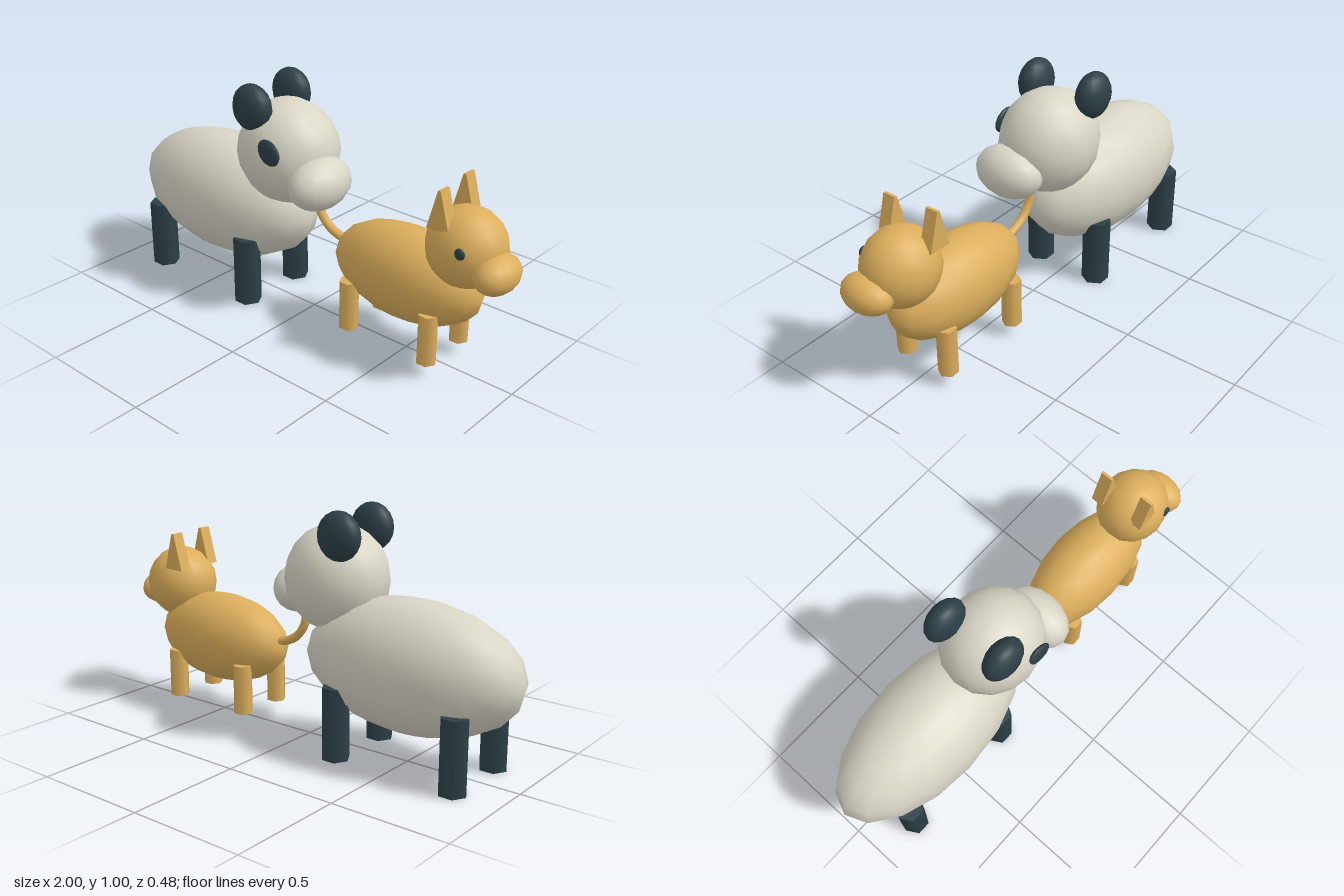
import * as THREE from 'three';

const cream = new THREE.MeshStandardMaterial({ color: 0xd9d5c6 });
cream.name = 'cream fur';
const dark = new THREE.MeshStandardMaterial({ color: 0x2c4047 });
dark.name = 'dark fur';
const tan = new THREE.MeshStandardMaterial({ color: 0xdcae5c });
tan.name = 'tan fur';

function add(group, name, geometry, material, pos = [0, 0, 0], rot = [0, 0, 0]) {
  const mesh = new THREE.Mesh(geometry, material);
  mesh.name = name;
  mesh.position.set(...pos);
  mesh.rotation.set(...rot);
  group.add(mesh);
  return mesh;
}

// Low-poly smooth ellipsoid with the given radii
function blob(group, name, material, pos, radii, rot) {
  const geometry = new THREE.SphereGeometry(1, 16, 10).scale(...radii);
  return add(group, name, geometry, material, pos, rot);
}

// Four six-sided legs, mirrored across z
function legs(group, material, xs, z, radius, bottom, top) {
  const geometry = new THREE.CylinderGeometry(radius, radius, top - bottom, 6).rotateY(Math.PI / 6);
  xs.forEach((x, i) => {
    for (const side of [1, -1]) {
      const name = (i ? 'front' : 'hind') + (side > 0 ? 'Right' : 'Left') + 'Leg';
      add(group, name, geometry, material, [x, (bottom + top) / 2, side * z]);
    }
  });
}

function createBear() {
  const bear = new THREE.Group();
  bear.name = 'bear';
  blob(bear, 'body', cream, [-0.51, 0.402, 0], [0.49, 0.27, 0.24]);
  legs(bear, dark, [-0.8, -0.255], 0.153, 0.06, 0, 0.305);
  blob(bear, 'head', cream, [-0.13, 0.7, 0.015], [0.226, 0.224, 0.206]);
  blob(bear, 'muzzle', cream, [0.082, 0.625, 0.06], [0.108, 0.11, 0.155]);
  blob(bear, 'rightEar', dark, [-0.208, 0.9, 0.145], [0.097, 0.1, 0.063]);
  blob(bear, 'leftEar', dark, [-0.24, 0.9, -0.122], [0.097, 0.1, 0.063]);
  blob(bear, 'eyePatch', dark, [-0.066, 0.758, 0.202], [0.062, 0.049, 0.017], [-0.08, 0, -0.5]);
  return bear;
}

function createDog() {
  const dog = new THREE.Group();
  dog.name = 'dog';
  blob(dog, 'body', tan, [0.493, 0.345, 0], [0.348, 0.195, 0.167]);
  legs(dog, tan, [0.285, 0.676], 0.11, 0.042, 0.06, 0.275);
  blob(dog, 'head', tan, [0.765, 0.556, 0.014], [0.162, 0.161, 0.15]);
  blob(dog, 'snout', tan, [0.917, 0.506, 0.04], [0.08, 0.076, 0.114]);
  blob(dog, 'eye', dark, [0.82, 0.592, 0.147], [0.022, 0.023, 0.011]);

  // Pointed ears: triangular prisms
  const triangle = new THREE.Shape();
  triangle.moveTo(-0.05, 0);
  triangle.lineTo(0.05, 0);
  triangle.lineTo(0.006, 0.16);
  triangle.lineTo(-0.006, 0.16);
  const earGeometry = new THREE.ExtrudeGeometry(triangle, { depth: 0.055, bevelEnabled: false });
  add(dog, 'rightEar', earGeometry, tan, [0.708, 0.64, 0.075]);
  add(dog, 'leftEar', earGeometry, tan, [0.688, 0.64, -0.115]);

  // Tail curving up behind the body
  const curve = new THREE.CatmullRomCurve3([
    [0.2, 0.38], [0.14, 0.385], [0.07, 0.42], [0.028, 0.48], [0.018, 0.54],
  ].map(([x, y]) => new THREE.Vector3(x, y, 0)));
  add(dog, 'tail', new THREE.TubeGeometry(curve, 14, 0.019, 8), tan);
  blob(dog, 'tailTip', tan, [0.018, 0.54, 0], [0.019, 0.019, 0.019]);
  return dog;
}

export function createModel() {
  const model = new THREE.Group();
  model.name = 'bearAndDog';
  model.add(createBear(), createDog());
  return model;
}
